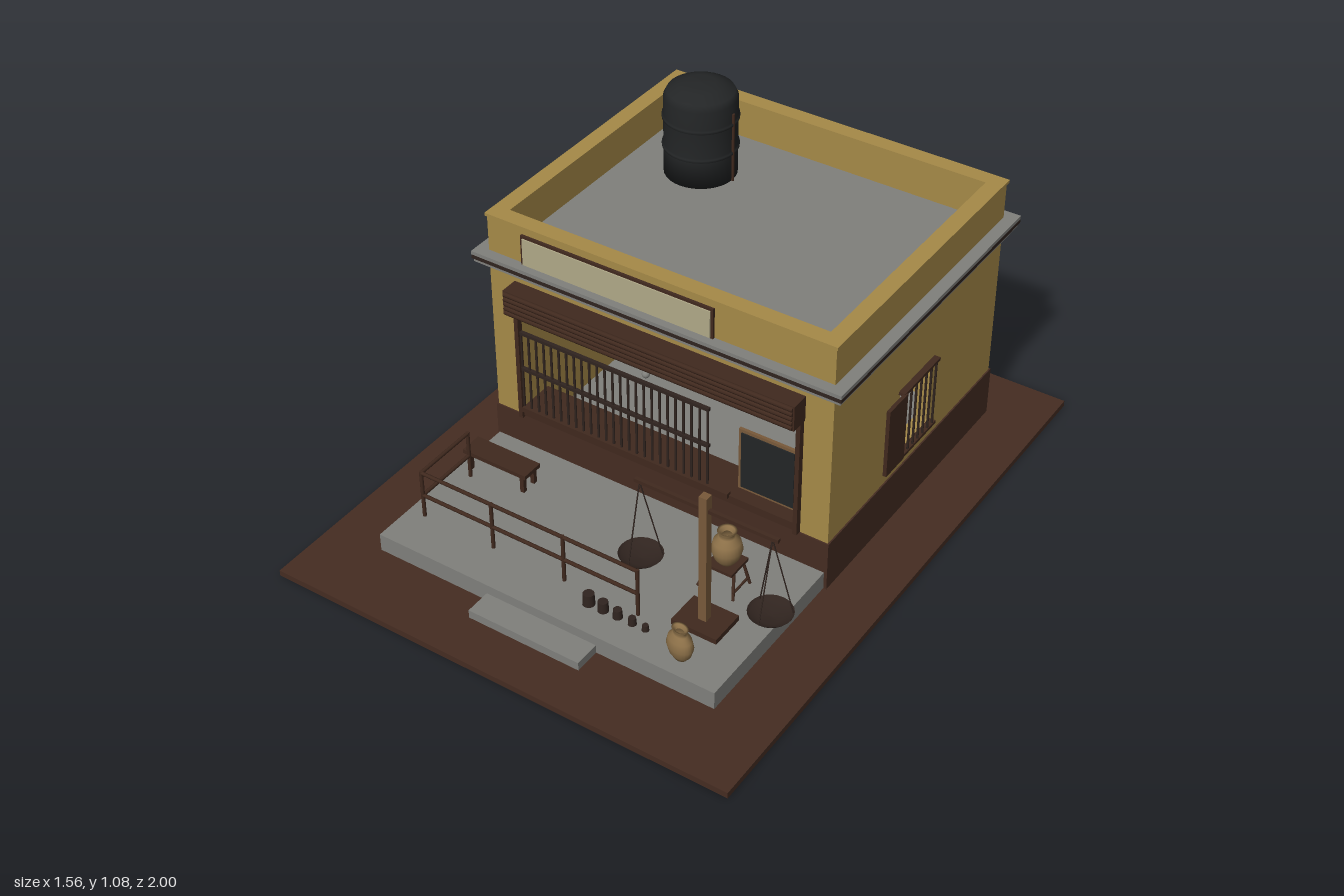
import * as THREE from 'three';

const mat = (name, color, extra = {}) => Object.assign(new THREE.MeshStandardMaterial({ color, ...extra }), { name });

export function createModel() {
  const root = new THREE.Group();
  root.name = 'shop';
  const ochre = mat('ochre plaster', 0xa68a48);
  const brown = mat('earth brown', 0x452c22);
  const wood = mat('dark wood', 0x40291e);
  const grey = mat('concrete grey', 0x80807c);
  const iron = mat('dark iron', 0x30241f, { side: THREE.DoubleSide });
  const black = mat('black', 0x232526);
  const clay = mat('clay', 0x8c7048, { side: THREE.DoubleSide });
  const timber = mat('pale timber', 0x78593a);
  const cream = mat('cream', 0xb0a988);

  const add = (name, geo, material, x = 0, y = 0, z = 0, parent = root) => {
    const m = new THREE.Mesh(geo, material);
    m.name = name;
    m.position.set(x, y, z);
    parent.add(m);
    return m;
  };
  // Box given by its limits on each axis
  const box = (name, material, x0, x1, y0, y1, z0, z1, parent = root) =>
    add(name, new THREE.BoxGeometry(x1 - x0, y1 - y0, z1 - z0), material,
      (x0 + x1) / 2, (y0 + y1) / 2, (z0 + z1) / 2, parent);
  // Thin round rod between two points
  const rod = (name, material, a, b, r, parent = root) => {
    const p = new THREE.Vector3(...a), q = new THREE.Vector3(...b);
    const m = add(name, new THREE.CylinderGeometry(r, r, p.distanceTo(q), 8), material, 0, 0, 0, parent);
    m.position.copy(p).lerp(q, 0.5);
    m.quaternion.setFromUnitVectors(new THREE.Vector3(0, 1, 0), q.sub(p).normalize());
    return m;
  };
  const lathe = (name, pts, material, x, y, z, seg = 24) =>
    add(name, new THREE.LatheGeometry(pts.map(p => new THREE.Vector2(...p)), seg), material, x, y, z);

  // Ground, porch and step
  box('ground', brown, -0.78, 0.78, 0, 0.02, -1, 1);
  box('porch', grey, -0.59, 0.585, 0.02, 0.08, 0.18, 0.765);
  box('step', grey, -0.195, 0.19, 0.02, 0.048, 0.765, 0.85);
  box('floor', grey, -0.58, 0.58, 0.02, 0.03, -0.8, 0.17);

  // Walls: a rectangle with rectangular holes, extruded
  const T = 0.045;
  const wall = (name, a0, a1, holes) => {
    const rect = (P, l, r, b, t) => {
      P.moveTo(l, b); P.lineTo(r, b); P.lineTo(r, t); P.lineTo(l, t); P.closePath();
      return P;
    };
    const s = rect(new THREE.Shape(), a0, a1, 0.02, 0.89);
    holes.forEach(h => s.holes.push(rect(new THREE.Path(), ...h)));
    return add(name, new THREE.ExtrudeGeometry(s, { depth: T, bevelEnabled: false }), ochre);
  };
  wall('frontWall', -0.59, 0.59, [[-0.49, 0.49, 0.22, 0.62]]).position.z = 0.18 - T;
  wall('backWall', -0.59, 0.59, [[0.235, 0.435, 0.25, 0.49]]).position.z = -0.81;
  for (const s of [-1, 1]) {
    const w = wall('sideWall', -0.18 + T, 0.81 - T, [[0.21, 0.41, 0.25, 0.49]]);
    w.rotation.y = Math.PI / 2;
    w.position.x = s > 0 ? 0.59 - T : -0.59;
  }

  // Plinth strips and parapet rim
  const ring = (name, m, x, z0, z1, y0, y1, t) => {
    box(name, m, -x, x, y0, y1, z1 - t, z1);
    box(name, m, -x, x, y0, y1, z0, z0 + t);
    for (const s of [-1, 1])
      box(name, m, s > 0 ? x - t : -x, s > 0 ? x : -x + t, y0, y1, z0 + t, z1 - t);
  };
  ring('plinth', brown, 0.595, -0.815, 0.185, 0.02, 0.19, 0.03);
  ring('parapetRim', ochre, 0.595, -0.817, 0.185, 0.882, 0.892, 0.053);

  // Roof slab and layered cornice
  box('roof', grey, -0.56, 0.56, 0.72, 0.765, -0.78, 0.15);
  ring('corniceLower', grey, 0.625, -0.84, 0.21, 0.725, 0.737, 0.06);
  ring('corniceGroove', iron, 0.63, -0.845, 0.215, 0.737, 0.75, 0.06);
  ring('corniceUpper', grey, 0.63, -0.845, 0.215, 0.75, 0.762, 0.06);

  // Blank sign board
  box('signFrame', wood, -0.465, 0.2, 0.757, 0.863, 0.18, 0.189);
  box('signPanel', cream, -0.457, 0.192, 0.765, 0.855, 0.186, 0.193);

  // Rolled shutter box with ridged front, and its posts
  box('shutterBox', wood, -0.5, 0.5, 0.6, 0.685, 0.18, 0.24);
  for (let i = 0; i < 5; i++)
    rod('shutterRidge', wood, [-0.495, 0.61 + i * 0.016, 0.24], [0.495, 0.61 + i * 0.016, 0.24], 0.008);
  for (const s of [-1, 1])
    box('shutterPost', wood, s * 0.49 - 0.007, s * 0.49 + 0.007, 0.19, 0.6, 0.18, 0.2);

  // Counter and its grille
  box('counter', wood, -0.49, 0.49, 0.195, 0.222, 0.06, 0.19);
  box('counterLip', wood, -0.49, 0.26, 0.215, 0.232, 0.18, 0.2);
  for (const y of [0.375, 0.508])
    box('grilleRail', iron, -0.49, 0.19, y - 0.005, y + 0.005, 0.182, 0.194);
  for (let i = 0; i < 25; i++) {
    const x = -0.483 + i * 0.0278;
    rod('grilleBar', iron, [x, 0.22, 0.188], [x, 0.51, 0.188], 0.004);
  }

  // Hanging bulb
  rod('bulbCord', iron, [0, 0.59, 0.23], [0, 0.61, 0.23], 0.004);
  add('bulb', new THREE.SphereGeometry(0.012, 12, 8), grey, 0, 0.582, 0.23);

  // Blackboard
  box('boardFrame', timber, 0.295, 0.492, 0.275, 0.492, 0.186, 0.196);
  box('boardPanel', black, 0.305, 0.482, 0.285, 0.482, 0.192, 0.2);

  // Side windows: bars outside the wall, with an open shutter
  for (const s of [-1, 1]) {
    const g = new THREE.Group();
    g.name = 'sideWindow';
    root.add(g);
    for (let i = 0; i < 7; i++) {
      const z = -0.4 + i * 0.03;
      rod('windowBar', iron, [s * 0.606, 0.25, z], [s * 0.606, 0.49, z], 0.004, g);
    }
    const c = s * 0.6;
    for (const y of [0.25, 0.487])
      box('windowRail', wood, c - 0.011, c + 0.011, y - 0.005, y + 0.005, -0.415, -0.2, g);
    box('shutter', wood, s * 0.61 - 0.006, s * 0.61 + 0.006, 0.25, 0.49, -0.21, -0.105, g);
  }

  // Back window and planked back door
  for (let i = 0; i < 7; i++) {
    const x = 0.245 + i * 0.03;
    rod('backWindowBar', iron, [x, 0.25, -0.812], [x, 0.49, -0.812], 0.004);
  }
  box('backDoor', wood, -0.43, -0.24, 0.02, 0.445, -0.818, -0.755);
  for (const z of [-0.82, -0.754]) {
    for (let i = 0; i < 5; i++)
      box('doorPlank', brown, -0.422 + i * 0.035, -0.39 + i * 0.035, 0.03, 0.437, z - 0.003, z + 0.003);
  }

  // Water tank
  lathe('waterTank', [[0, 0], [0.115, 0], [0.115, 0.09], [0.12, 0.094], [0.12, 0.102], [0.115, 0.106],
    [0.115, 0.19], [0.12, 0.194], [0.12, 0.202], [0.115, 0.206], [0.115, 0.265], [0.105, 0.285],
    [0.07, 0.302], [0.045, 0.309], [0, 0.311]], black, -0.313, 0.765, -0.53, 32);
  rod('tankPipe', wood, [-0.196, 0.765, -0.53], [-0.196, 1.0, -0.53], 0.005);

  // Porch railing
  for (const y of [0.16, 0.245]) {
    rod('rail', wood, [-0.533, y, 0.625], [0.237, y, 0.625], 0.006);
    rod('rail', wood, [-0.533, y, 0.405], [-0.533, y, 0.625], 0.006);
  }
  for (const [x, z] of [[-0.533, 0.405], [-0.533, 0.625], [-0.276, 0.625], [-0.02, 0.625], [0.237, 0.625]])
    rod('railPost', wood, [x, 0.08, z], [x, 0.25, z], 0.006);

  // Bench
  box('benchSeat', wood, -0.573, -0.338, 0.138, 0.152, 0.31, 0.385);
  for (const x of [-0.555, -0.356])
    for (const z of [0.322, 0.373]) box('benchLeg', wood, x - 0.007, x + 0.007, 0.08, 0.138, z - 0.007, z + 0.007);

  // Balance scale
  box('scaleBase', wood, 0.335, 0.487, 0.08, 0.098, 0.487, 0.605);
  box('scalePost', timber, 0.398, 0.424, 0.098, 0.547, 0.535, 0.561);
  box('scaleBeam', wood, 0.18, 0.645, 0.492, 0.504, 0.541, 0.553);
  for (const x of [0.195, 0.625]) {
    lathe('scalePan', [[0, 0], [0.035, 0.003], [0.058, 0.011], [0.066, 0.02]], iron, x, 0.214, 0.546);
    for (let i = 0; i < 3; i++) {
      const a = Math.PI / 2 + i * Math.PI * 2 / 3;
      rod('panString', iron, [x, 0.495, 0.547], [x + 0.062 * Math.cos(a), 0.23, 0.546 + 0.062 * Math.sin(a)], 0.002);
    }
  }

  // Weights in falling sizes
  [0.095, 0.145, 0.195, 0.245, 0.29].forEach((x, i) =>
    add('weight', new THREE.CylinderGeometry(0.017 - i * 0.002, 0.019 - i * 0.002, 0.04 - i * 0.005, 16),
      iron, x, 0.1 - i * 0.0025, 0.665));

  // Clay pots, one of them on a stand
  const pot = [[0, 0], [0.022, 0], [0.038, 0.022], [0.047, 0.052], [0.041, 0.08], [0.024, 0.097],
    [0.02, 0.106], [0.029, 0.118], [0.022, 0.117], [0.015, 0.104]];
  lathe('waterPot', pot, clay, 0.37, 0.155, 0.37);
  const jug = lathe('jug', pot, clay, 0.43, 0.08, 0.7);
  jug.scale.set(1, 0.92, 0.7);
  jug.rotation.y = -0.3;
  box('potStand', wood, 0.325, 0.415, 0.148, 0.158, 0.325, 0.415);
  for (const sx of [-1, 1]) {
    for (const sz of [-1, 1])
      rod('standLeg', wood, [0.37 + sx * 0.04, 0.15, 0.37 + sz * 0.025],
        [0.37 + sx * 0.06, 0.08, 0.385 + sz * 0.045], 0.005);
    rod('standBrace', wood, [0.37 + sx * 0.055, 0.1, 0.345], [0.37 + sx * 0.055, 0.1, 0.425], 0.004);
  }
  return root;
}
